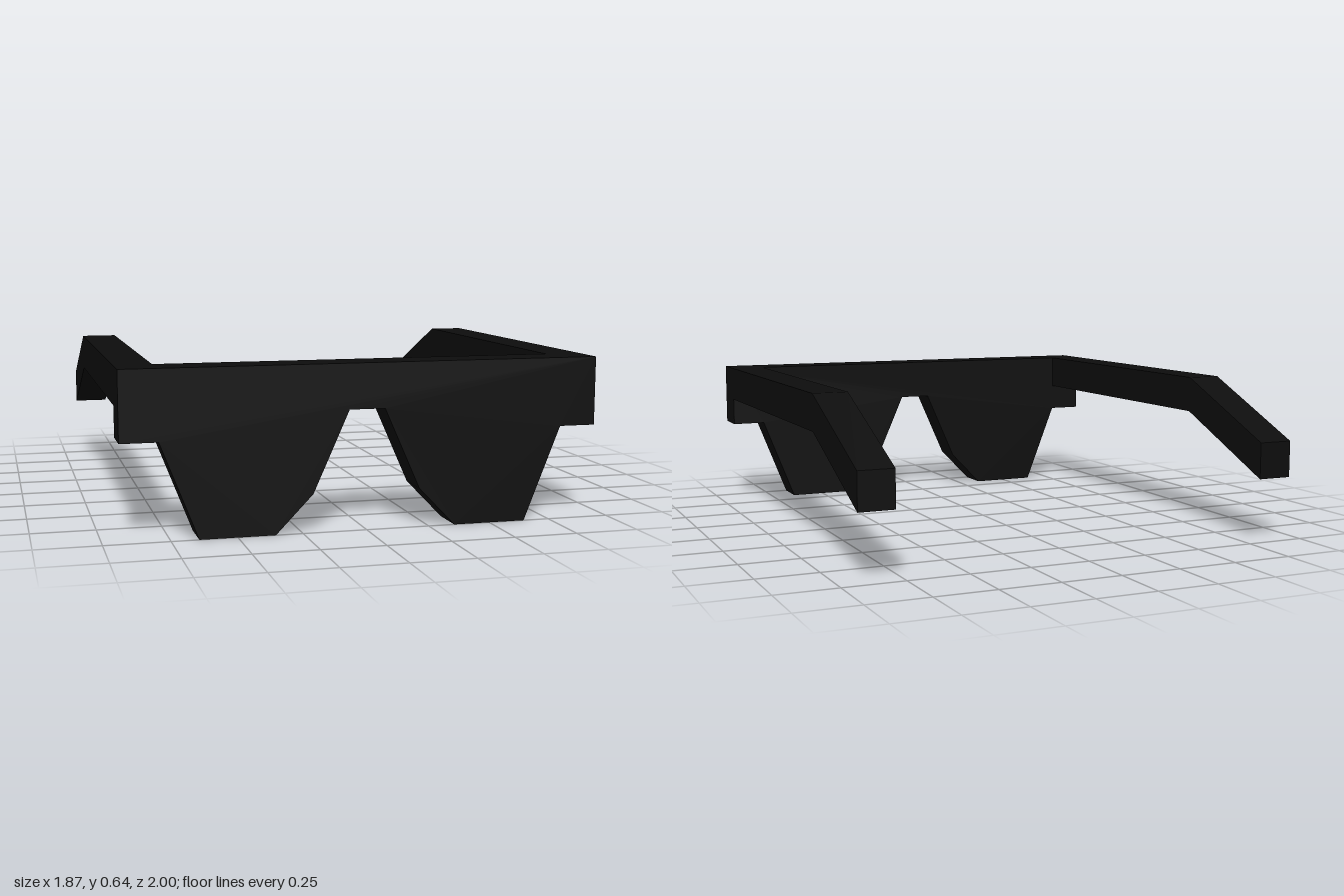
import * as THREE from 'three';

const DEPTH = 0.15;

// Flat outline extruded to the given thickness
function slab(name, points, depth, material) {
  const shape = new THREE.Shape(points.map(([x, y]) => new THREE.Vector2(x, y)));
  const geometry = new THREE.ExtrudeGeometry(shape, { depth, bevelEnabled: false });
  const mesh = new THREE.Mesh(geometry, material);
  mesh.name = name;
  return mesh;
}

export function createModel() {
  const group = new THREE.Group();
  group.name = 'sunglasses';
  const black = new THREE.MeshStandardMaterial({ color: 0x0d0d0d, flatShading: true });

  // Front: brow bar, two angular lenses and the bridge in one mirrored outline
  const half = [
    [0.07, 0.465], [0.21, 0.15], [0.355, 0], [0.645, 0],
    [0.79, 0.37], [0.935, 0.37], [0.935, 0.64],
  ];
  const mirrored = half.map(([x, y]) => [-x, y]).reverse();
  const front = slab('lensFront', [...half, ...mirrored], DEPTH, black);
  front.position.z = 1 - DEPTH;
  group.add(front);

  // Temples: straight arm with the ear end bent down (profile x runs backwards)
  const profile = [
    [-0.85, 0.49], [0.47, 0.49], [1, 0.265],
    [1, 0.415], [0.47, 0.64], [-0.85, 0.64],
  ];
  for (const [name, x] of [['leftTemple', 0.79], ['rightTemple', -0.935]]) {
    const temple = slab(name, profile, 0.145, black);
    temple.rotation.y = Math.PI / 2;
    temple.position.x = x;
    group.add(temple);
  }
  return group;
}
